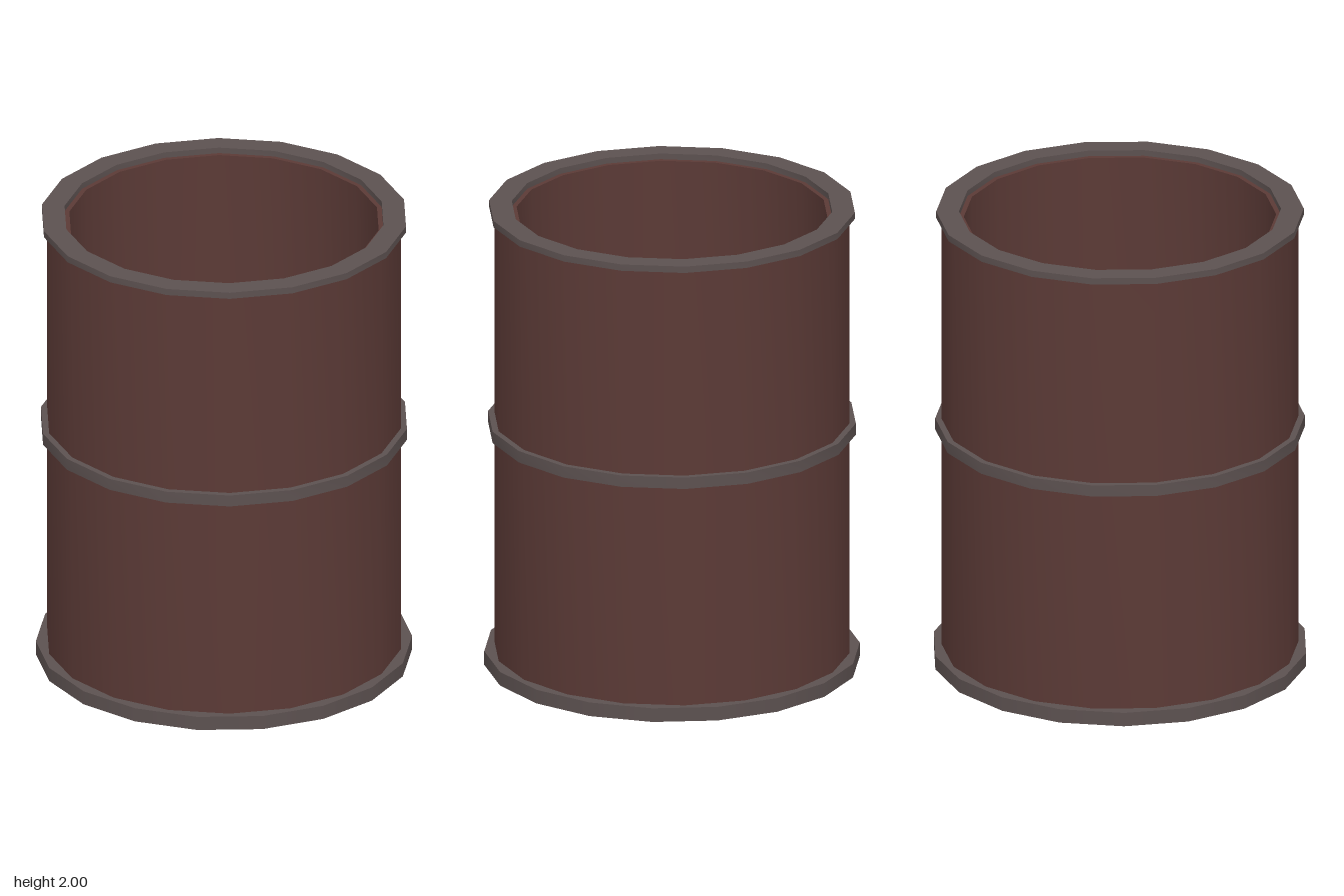
import * as THREE from 'three';
import { toCreasedNormals } from 'three/addons/utils/BufferGeometryUtils.js';

const SIDES = 18;
const rust = new THREE.MeshStandardMaterial({ color: 0x5b3a36 });
const iron = new THREE.MeshStandardMaterial({ color: 0x5c5150 });

// Hollow band with a rectangular section, smooth around and sharp at its edges
function band(name, inner, outer, bottom, top, material) {
  const profile = [
    [inner, bottom], [outer, bottom], [outer, top], [inner, top], [inner, bottom],
  ].map(([r, y]) => new THREE.Vector2(r, y));
  const geometry = toCreasedNormals(new THREE.LatheGeometry(profile, SIDES), 0.6);
  const mesh = new THREE.Mesh(geometry, material);
  mesh.name = name;
  return mesh;
}

export function createModel() {
  const barrel = new THREE.Group();
  barrel.name = 'openBarrel';

  // Thick wall, open at the top
  barrel.add(band('wall', 0.65, 0.743, 0.002, 1.975, rust));

  // Hoops around the wall
  barrel.add(band('topRim', 0.67, 0.765, 1.972, 2, iron));
  barrel.add(band('middleHoop', 0.67, 0.769, 1.022, 1.072, iron));

  // Base plate, turned half a facet against the wall; its top is the inner floor
  const base = new THREE.Mesh(new THREE.CylinderGeometry(0.783, 0.783, 0.06, SIDES), iron);
  base.name = 'basePlate';
  base.rotation.y = Math.PI / 2;
  base.position.y = 0.03;
  barrel.add(base);

  return barrel;
}
